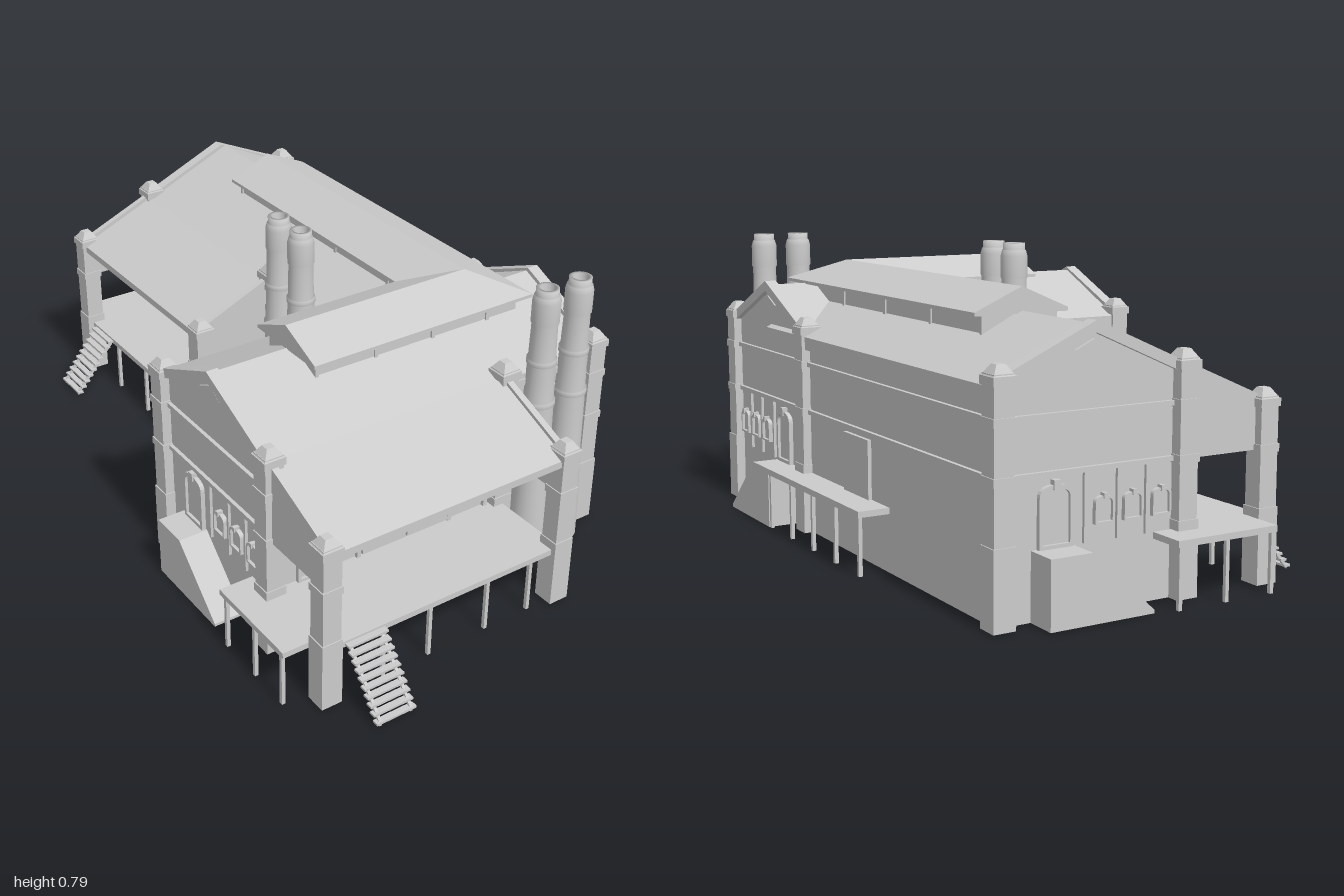
import * as THREE from 'three';

const mat = new THREE.MeshStandardMaterial({ color: 0xcccccc, flatShading: true, side: THREE.DoubleSide });
const smooth = new THREE.MeshStandardMaterial({ color: 0xcccccc, side: THREE.DoubleSide });

function add(parent, name, geo, x = 0, y = 0, z = 0, m = mat) {
  const mesh = new THREE.Mesh(geo, m);
  mesh.name = name;
  mesh.position.set(x, y, z);
  parent.add(mesh);
  return mesh;
}
const box = (p, name, w, h, d, x, y, z) => add(p, name, new THREE.BoxGeometry(w, h, d), x, y, z);
// box given by its limits on each axis
const span = (p, name, x0, x1, y0, y1, z0, z1) =>
  box(p, name, x1 - x0, y1 - y0, z1 - z0, (x0 + x1) / 2, (y0 + y1) / 2, (z0 + z1) / 2);

function frame(parent, name, x, z, rot) {
  const g = new THREE.Group();
  g.name = name;
  g.position.set(x, 0, z);
  g.rotation.y = rot;
  parent.add(g);
  return g;
}
// polygon in the frame's own plane, extruded from z0 to z1
function prism(p, name, pts, z0, z1) {
  const shape = new THREE.Shape(pts.map(a => new THREE.Vector2(...a)));
  return add(p, name, new THREE.ExtrudeGeometry(shape, { depth: z1 - z0, bevelEnabled: false }), 0, 0, z0);
}
// sheet of thickness t following a bent line
const sheet = (pts, t) => [...pts, ...pts.map(([u, y]) => [u, y - t]).reverse()];

function archShape(C, w, h, rise) {
  const s = new C();
  s.moveTo(-w / 2, 0);
  s.lineTo(w / 2, 0);
  s.lineTo(w / 2, h - rise);
  s.quadraticCurveTo(w / 2, h, 0, h);
  s.quadraticCurveTo(-w / 2, h, -w / 2, h - rise);
  s.closePath();
  return s;
}
// arched opening: raised surround, panel and keystone
function opening(p, name, u, y, w, h) {
  const g = new THREE.Group();
  g.name = name;
  g.position.set(u, y, 0);
  p.add(g);
  const t = w * 0.1;
  const rim = archShape(THREE.Shape, w, h, w * 0.3);
  const hole = archShape(THREE.Path, w - 2 * t, h - 2 * t, w * 0.25);
  const pts = hole.getPoints(6).map(v => new THREE.Vector2(v.x, v.y + t));
  rim.holes.push(new THREE.Path(pts));
  add(g, name + 'Surround', new THREE.ExtrudeGeometry(rim, { depth: 0.012, bevelEnabled: false, curveSegments: 6 }));
  add(g, name + 'Panel', new THREE.ShapeGeometry(archShape(THREE.Shape, w - t, h - t, w * 0.3), 6), 0, 0, 0.004);
  box(g, name + 'Keystone', w * 0.2, w * 0.25, 0.018, 0, h, 0.007);
}

const BANDS = [0.335, 0.465];
// straight wall with string courses; outer face at local z = 0
function wall(p, name, x, z, rot, len, h = 0.54) {
  const g = frame(p, name, x, z, rot);
  box(g, 'wallPanel', len, h, 0.015, 0, h / 2, -0.0075);
  for (const y of BANDS) box(g, 'stringCourse', len, 0.012, 0.016, 0, y, 0.002);
  box(g, 'cornice', len, 0.02, 0.02, 0, h - 0.025, 0.004);
  return g;
}

// gabled end with door, windows, vent, coping and ramp; s mirrors it
function gableEnd(p, name, x, z, rot, s) {
  const g = frame(p, name, x, z, rot);
  prism(g, 'gableWall', [[-0.25, 0], [0.25, 0], [0.25, 0.54], [0, 0.65], [-0.25, 0.54]], -0.015, 0);
  for (const y of BANDS) box(g, 'stringCourse', 0.5, 0.012, 0.016, 0, y, 0.002);
  prism(g, 'coping', sheet([[-0.26, 0.555], [0, 0.67], [0.26, 0.555]], 0.028), -0.018, 0.015);
  prism(g, 'gableVent', [[-0.05, 0.605], [0.05, 0.605], [0, 0.628]], 0, 0.008);
  opening(g, 'door', -0.1 * s, 0.165, 0.09, 0.145);
  for (const u of [0.03, 0.11, 0.19]) opening(g, 'window', u * s, 0.205, 0.052, 0.065);
  for (const u of [-0.02, 0.07, 0.15]) box(g, 'pilaster', 0.008, 0.17, 0.01, u * s, 0.25, 0.003);
  prism(g, 'ramp', [[-0.16, 0], [-0.16, 0.165], [-0.05, 0.165], [0.12, 0.008], [0.12, 0]].map(([u, y]) => [u * s, y]), 0, 0.083);
}

function post(p, x, z, h) {
  const g = frame(p, 'cornerPost', x, z, 0);
  const block = (w, y0, y1) => span(g, 'postBlock', -w / 2, w / 2, y0, y1, -w / 2, w / 2);
  block(0.052, 0, h - 0.02);
  block(0.058, 0, 0.19);
  block(0.058, 0.325, 0.345);
  if (h > 0.5) block(0.058, 0.455, 0.475);
  block(0.06, h - 0.045, h - 0.025);
  const cap = add(g, 'postCap', new THREE.CylinderGeometry(0.016, 0.039, 0.025, 4), 0, h - 0.0125, 0);
  cap.rotation.y = Math.PI / 4;
}

function chimney(p, x, z) {
  const prof = [[0.054, 0], [0.053, 0.1], [0.044, 0.29], [0.041, 0.45], [0.044, 0.452], [0.044, 0.465], [0.04, 0.467],
    [0.037, 0.57], [0.04, 0.572], [0.04, 0.585], [0.036, 0.587], [0.034, 0.685], [0.037, 0.69], [0.037, 0.75],
    [0.033, 0.765], [0.03, 0.768], [0.03, 0.785], [0.021, 0.785], [0.02, 0.7], [0, 0.7]];
  add(p, 'chimney', new THREE.LatheGeometry(prof.map(a => new THREE.Vector2(...a)), 20), x, 0, z, smooth);
}

// open stair climbing towards local -z, top at local z = 0
function stairs(p, x, z, rot) {
  const g = frame(p, 'stairs', x, z, rot), n = 10;
  for (let i = 0; i < n; i++) box(g, 'tread', 0.115, 0.006, 0.018, 0, 0.157 - i * 0.0165, 0.008 + i * 0.013);
  for (const s of [-1, 1])
    prism(frame(g, 'stringerSide', s * 0.045, 0, Math.PI / 2), 'stringer',
      sheet([[0, 0.158], [-0.13, 0.01]], 0.012), -0.004, 0.004);
}

// slab on thin legs
function deck(p, name, x0, x1, z0, z1, legs) {
  const g = frame(p, name, 0, 0, 0);
  span(g, 'deckSlab', x0, x1, 0.15, 0.166, z0, z1);
  for (const [x, z] of legs) box(g, 'deckLeg', 0.01, 0.15, 0.01, x, 0.075, z);
}

// convex profile [offset, y] swept round the L of the ridge, mitred at the corner
function sweepL(p, name, prof, x0, z1) {
  const rings = [
    prof.map(([d, y]) => [x0, y, 0.35 + d]),
    prof.map(([d, y]) => [0.28 + d, y, 0.35 + d]),
    prof.map(([d, y]) => [0.28 + d, y, z1])];
  const n = prof.length, idx = [];
  for (let r = 0; r < 2; r++)
    for (let i = 0; i < n; i++) {
      const a = r * n + i, b = r * n + (i + 1) % n;
      idx.push(a, a + n, b, b, a + n, b + n);
    }
  for (let i = 1; i < n - 1; i++) idx.push(0, i, i + 1, 2 * n, 2 * n + i + 1, 2 * n + i);
  let geo = new THREE.BufferGeometry();
  geo.setAttribute('position', new THREE.Float32BufferAttribute(rings.flat(2), 3));
  geo.setIndex(idx);
  geo = geo.toNonIndexed();
  geo.computeVertexNormals();
  add(p, name, geo);
}

export function createModel() {
  const root = new THREE.Group();
  root.name = 'factory';
  const Q = Math.PI / 2;

  // walls
  const front = wall(root, 'frontWall', 0.005, 0.615, 0, 1.01);
  wall(root, 'innerBackWall', -0.25, 0.11, Math.PI, 0.5);
  const east = wall(root, 'longSideWall', 0.515, -0.39, Q, 1.0);
  const west = wall(root, 'courtWall', 0.005, -0.39, -Q, 1.0);
  gableEnd(root, 'rightGable', 0.515, 0.36, Q, -1);
  gableEnd(root, 'leftGable', -0.505, 0.36, -Q, 1);
  gableEnd(root, 'backGable', 0.265, -0.895, Math.PI, 1);

  // front openings and panels behind the porch
  opening(front, 'door', -0.39, 0.165, 0.09, 0.15);
  for (const u of [-0.17, -0.03]) box(front, 'slidingDoor', 0.135, 0.15, 0.01, u, 0.245, 0.004);
  prism(front, 'doorArch', [[-0.24, 0.325], [0.05, 0.325], [-0.01, 0.355], [-0.095, 0.366], [-0.18, 0.355]], 0, 0.012);
  for (const u of [-0.31, -0.25, 0.04, 0.16]) box(front, 'pilaster', 0.012, 0.33, 0.012, u, 0.165, 0.004);
  box(east, 'slidingDoor', 0.145, 0.155, 0.012, -0.18, 0.242, 0.004);
  opening(west, 'door', -0.4, 0.165, 0.09, 0.15);
  box(west, 'slidingDoor', 0.27, 0.15, 0.01, -0.12, 0.245, 0.004);

  // crossing roofs
  const cross = frame(root, 'crossRoof', 0, 0, Q);
  prism(cross, 'crossRoofSheet', sheet([[-0.625, 0.54], [-0.355, 0.66], [-0.095, 0.54]], 0.015), -0.51, 0.518);
  prism(root, 'longRoofSheet', sheet([[-0.015, 0.535], [0.28, 0.664], [0.53, 0.54]], 0.015), -0.9, 0.355);

  // lean-to roofs and their closed end panels
  prism(cross, 'frontLeanToRoof', sheet([[-0.875, 0.438], [-0.615, 0.545]], 0.02), -0.5, 0.215);
  for (const x of [-0.505, 0.205])
    prism(cross, 'leanToEnd', [[-0.86, 0.33], [-0.615, 0.33], [-0.615, 0.555], [-0.86, 0.455]], x - 0.009, x + 0.009);
  prism(root, 'backLeanToRoof', sheet([[-0.24, 0.438], [0, 0.542]], 0.02), -0.9, -0.18);
  for (const z of [-0.895, -0.185])
    prism(root, 'leanToEnd', [[-0.23, 0.33], [0, 0.33], [0, 0.555], [-0.23, 0.455]], z - 0.009, z + 0.009);

  // raised roof light along the ridges
  sweepL(root, 'roofLightWalls', [[-0.1, 0.57], [0.1, 0.57], [0.1, 0.665], [-0.1, 0.665]], -0.265, -0.61);
  sweepL(root, 'roofLightRoof', [[-0.13, 0.657], [0.13, 0.657], [0.13, 0.666], [0, 0.722], [-0.13, 0.666]], -0.285, -0.62);
  for (const t of [0, 0.18, 0.36, 0.54]) {
    box(root, 'roofLightMullion', 0.01, 0.06, 0.21, -0.26 + t, 0.632, 0.35);
    box(root, 'roofLightMullion', 0.21, 0.06, 0.01, 0.28, 0.632, -0.605 + t * 1.4);
  }

  // posts
  for (const [x, z] of [[-0.505, 0.615], [-0.505, 0.115], [0.015, 0.115], [0.512, 0.115], [0.512, 0.615], [0.21, 0.615],
    [0.512, -0.9], [0.015, -0.9], [0.015, -0.185]]) post(root, x, z, 0.59);
  for (const [x, z] of [[-0.505, 0.855], [0.21, 0.855], [-0.225, -0.9], [-0.225, -0.185]]) post(root, x, z, 0.48);

  // chimneys
  for (const [x, z] of [[0.305, 0.645], [0.415, 0.645], [-0.02, -0.09], [-0.02, 0.02]]) chimney(root, x, z);

  // decks and stairs
  deck(root, 'frontDeck', -0.52, 0.21, 0.615, 0.87, [-0.34, -0.2, -0.02, 0.12].map(x => [x, 0.86]));
  deck(root, 'leftDeck', -0.605, -0.51, 0.54, 0.825, [0.56, 0.69, 0.81].map(z => [-0.597, z]));
  deck(root, 'sideDock', 0.515, 0.6, -0.38, 0.205, [-0.37, -0.23, -0.09, 0.05, 0.19].map(z => [0.592, z]));
  deck(root, 'courtDeck', -0.235, 0, -0.9, -0.18, [-0.72, -0.54, -0.36].map(z => [-0.225, z]));
  deck(root, 'backDeck', -0.195, 0.095, -0.998, -0.9, [-0.185, -0.05, 0.085].map(x => [x, -0.99]));
  stairs(root, -0.402, 0.87, 0);
  stairs(root, -0.235, -0.795, -Q);

  return root;
}
